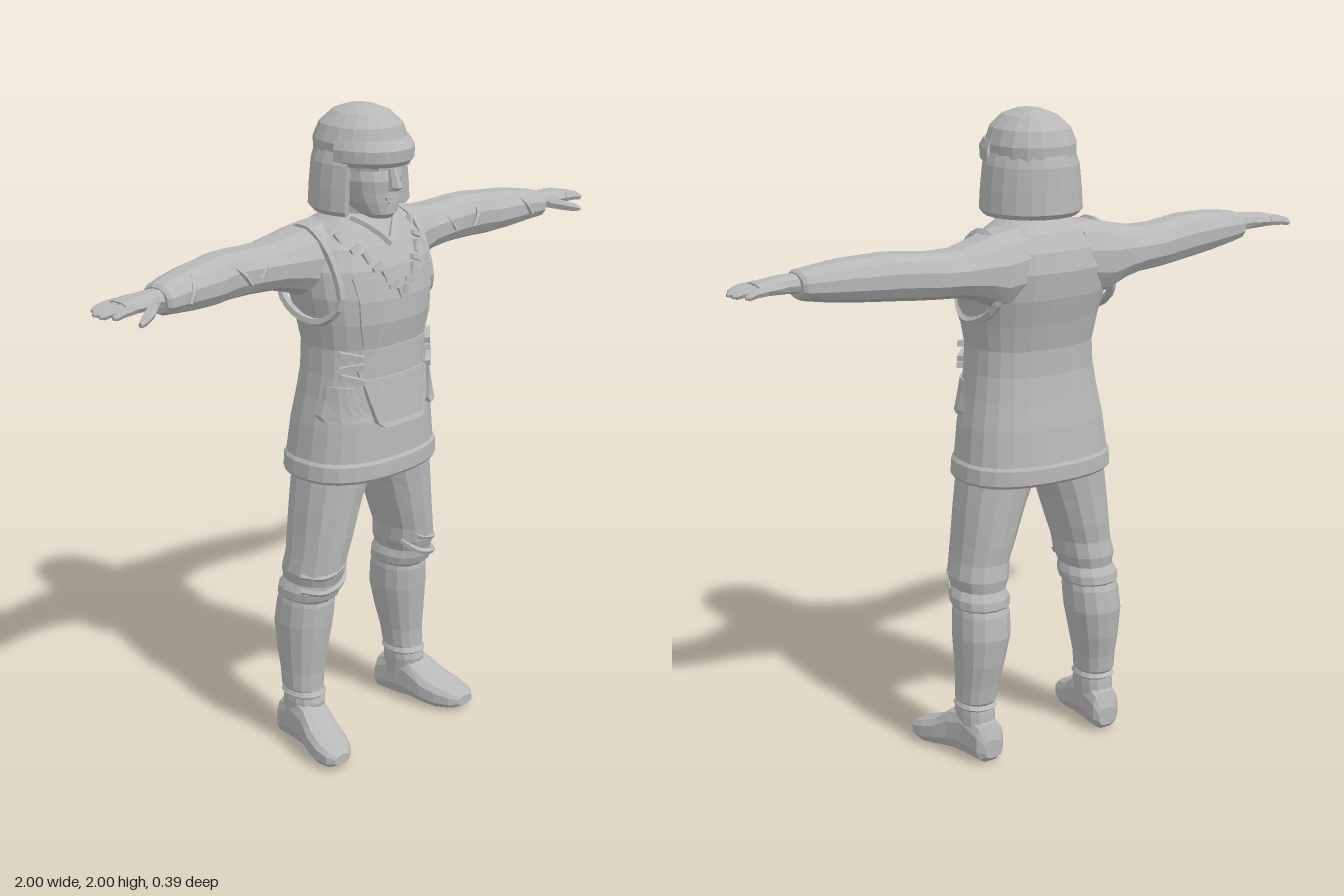
import * as THREE from 'three';

const cloth = new THREE.MeshStandardMaterial({ color: 0xb8b8b8, flatShading: true });
cloth.name = 'plain grey';

const V = (x, y, z) => new THREE.Vector3(x, y, z);

// Closed, capped skin over rings of points; faces are turned outward by volume sign.
function loft(name, rings, side = 1) {
  const n = rings[0].length, pts = rings.flat().map(p => V(p.x * side, p.y, p.z)), tris = [];
  const quad = (a, b, c, d) => tris.push([a, b, c], [a, c, d]);
  for (let r = 0; r < rings.length - 1; r++)
    for (let i = 0; i < n; i++) {
      const j = (i + 1) % n;
      quad(r * n + i, r * n + j, r * n + n + j, r * n + n + i);
    }
  const last = (rings.length - 1) * n;
  for (let i = 0; i < n / 2 - 1; i++) {
    quad(n - 1 - i, n - 2 - i, i + 1, i);
    quad(last + i, last + i + 1, last + n - 2 - i, last + n - 1 - i);
  }
  let vol = 0;
  for (const [a, b, c] of tris) vol += pts[a].dot(V(0, 0, 0).crossVectors(pts[b], pts[c]));
  const pos = [];
  for (const [a, b, c] of tris)
    for (const k of vol < 0 ? [a, c, b] : [a, b, c]) pos.push(pts[k].x, pts[k].y, pts[k].z);
  const g = new THREE.BufferGeometry();
  g.setAttribute('position', new THREE.Float32BufferAttribute(pos, 3));
  g.computeVertexNormals();
  const m = new THREE.Mesh(g, cloth);
  m.name = name;
  return m;
}

// Rounded cross-section. Row: [position on axis, min and max of first, min and max of second direction]
function ring(axis, [a, u0, u1, v0, v1], n = 14, p = 2.2) {
  return Array.from({ length: n }, (_, i) => {
    const t = (i + 0.5) / n * Math.PI * 2, c = Math.cos(t), s = Math.sin(t);
    const u = (u0 + u1) / 2 + (u1 - u0) / 2 * Math.sign(c) * Math.abs(c) ** (2 / p);
    const v = (v0 + v1) / 2 + (v1 - v0) / 2 * Math.sign(s) * Math.abs(s) ** (2 / p);
    return axis === 'y' ? V(u, a, v) : axis === 'x' ? V(a, u, v) : V(u, v, a);
  });
}
const solid = (name, axis, rows, side, n, p) => loft(name, rows.map(r => ring(axis, r, n, p)), side);

// Tunic profile: [y, half width, back z, front z]
const P = 2.4;
const tunic = [
  [0.89, 0.25, -0.175, 0.17], [0.90, 0.257, -0.185, 0.177], [0.945, 0.253, -0.185, 0.177],
  [0.955, 0.245, -0.18, 0.171], [1.06, 0.232, -0.168, 0.168], [1.15, 0.215, -0.152, 0.163],
  [1.22, 0.205, -0.142, 0.16], [1.30, 0.2, -0.142, 0.158], [1.38, 0.214, -0.16, 0.172],
  [1.46, 0.23, -0.182, 0.17], [1.54, 0.232, -0.192, 0.152], [1.60, 0.208, -0.178, 0.122],
  [1.65, 0.155, -0.145, 0.09], [1.685, 0.095, -0.1, 0.065],
];
function profile(y) {
  let i = 0;
  while (i < tunic.length - 2 && tunic[i + 1][0] < y) i++;
  const a = tunic[i], b = tunic[i + 1], t = (y - a[0]) / (b[0] - a[0]);
  return a.map((v, k) => THREE.MathUtils.lerp(v, b[k], t));
}
function frontZ(x, y) {
  const [, w, z0, z1] = profile(y), k = Math.min(Math.abs(x) / w, 0.99);
  return (z0 + z1) / 2 + (z1 - z0) / 2 * (1 - k ** P) ** (1 / P);
}

// Curved panel on the tunic front. Row: [y, left x, right x]
function panel(name, rows, thick, side = 1, drop = 0, cols = 6) {
  return loft(name, rows.map(([y, x0, x1], r) => {
    const edge = d => Array.from({ length: cols + 1 }, (_, i) => {
      const x = x0 + (x1 - x0) * i / cols;
      return V(x, y, frontZ(x, y) + d + drop * (1 - r / (rows.length - 1)));
    });
    return [...edge(thick), ...edge(-0.02).reverse()];
  }), side);
}

function box(name, size, at, rot = [0, 0, 0]) {
  const m = new THREE.Mesh(new THREE.BoxGeometry(...size), cloth);
  m.position.set(...at);
  m.rotation.set(...rot);
  m.name = name;
  return m;
}

function tube(name, points, r, closed = false) {
  const curve = new THREE.CatmullRomCurve3(points, closed);
  const m = new THREE.Mesh(new THREE.TubeGeometry(curve, 24, r, 5, closed), cloth);
  m.name = name;
  return m;
}

function createHead() {
  const g = new THREE.Group();
  g.name = 'head';
  g.add(
    solid('neck', 'y', [[1.58, -0.09, 0.09, -0.1, 0.08], [1.66, -0.075, 0.075, -0.09, 0.07], [1.76, -0.07, 0.07, -0.08, 0.07]]),
    solid('face', 'y', [
      [1.675, -0.035, 0.035, 0.02, 0.113], [1.69, -0.058, 0.058, -0.03, 0.127], [1.725, -0.078, 0.078, -0.08, 0.128],
      [1.755, -0.088, 0.088, -0.1, 0.127], [1.79, -0.096, 0.096, -0.1, 0.13], [1.82, -0.096, 0.096, -0.1, 0.122],
      [1.88, -0.1, 0.1, -0.1, 0.14]], 1, 16),
    solid('nose', 'y', [[1.76, -0.02, 0.02, 0.1, 0.148], [1.772, -0.018, 0.018, 0.1, 0.164], [1.83, -0.009, 0.009, 0.1, 0.137]], 1, 8),
    box('brow', [0.13, 0.02, 0.03], [0, 1.838, 0.122]),
    box('mouth', [0.05, 0.009, 0.012], [0, 1.738, 0.127]),
    box('lowerLip', [0.034, 0.008, 0.012], [0, 1.724, 0.127]),
    solid('capCrown', 'y', [
      [1.84, -0.128, 0.128, -0.143, 0.138], [1.90, -0.13, 0.13, -0.145, 0.14], [1.945, -0.112, 0.112, -0.128, 0.128],
      [1.98, -0.075, 0.075, -0.09, 0.095], [1.996, -0.035, 0.035, -0.045, 0.05], [2.0, -0.01, 0.01, -0.015, 0.02]], 1, 18));
  // Horseshoe-shaped strips wrapped around the head
  const wrap = (name, rows, from, to, shift = 0) => loft(name, rows.map(([y, rx, rz, t]) => {
    const arc = d => Array.from({ length: 15 }, (_, i) => {
      const a = from + (to - from) * i / 14;
      return V(Math.sin(a) * (rx - d), y, shift + Math.cos(a) * (rz - d));
    });
    return [...arc(0), ...arc(t).reverse()];
  }));
  g.add(
    wrap('capBrim', [[1.835, 0.124, 0.158, 0.03], [1.85, 0.137, 0.172, 0.045], [1.885, 0.138, 0.175, 0.045], [1.91, 0.128, 0.155, 0.04]], -1.45, 1.45),
    wrap('earAndNeckFlap', [[1.69, 0.143, 0.142, 0.03], [1.705, 0.155, 0.155, 0.045], [1.77, 0.151, 0.152, 0.045],
      [1.84, 0.142, 0.149, 0.035], [1.875, 0.129, 0.139, 0.03]], 1.08, Math.PI * 2 - 1.08, -0.005));
  return g;
}

function createTorso() {
  const g = new THREE.Group();
  g.name = 'torso';
  g.add(
    solid('tunic', 'y', tunic.map(([y, w, z0, z1]) => [y, -w, w, z0, z1]), 1, 24, P),
    panel('frontFlap', [[1.06, -0.08, 0.08], [1.075, -0.1, 0.1], [1.15, -0.122, 0.122], [1.21, -0.135, 0.135]], 0.008, 1, 0.014),
    panel('waistband', [[1.215, -0.14, 0.14], [1.255, -0.15, 0.15], [1.30, -0.135, 0.135]], 0.006),
    panel('chestPanel', [[1.31, -0.13, 0.13], [1.38, -0.145, 0.145], [1.45, -0.15, 0.15], [1.52, -0.16, 0.16]], 0.005));
  for (const s of [-1, 1]) {
    g.add(panel('hipFlap', [[1.085, 0.13, 0.222], [1.1, 0.125, 0.226], [1.15, 0.145, 0.212], [1.19, 0.155, 0.205]], 0.012, s, 0.01, 4));
    // Side lacing
    for (const [y, tilt] of [[1.215, 0.25], [1.25, -0.15], [1.285, 0.2]])
      g.add(box('sideLace', [0.075, 0.018, 0.03], [s * 0.158, y, frontZ(0.158, y) + 0.002], [0, s * 0.75, s * tilt]));
    // Ragged trim along the neckline
    for (let i = 0; i < 7; i++) {
      const t = i / 6, x = 0.01 + 0.14 * t, y = 1.465 + 0.165 * t;
      g.add(box('collarTrim', [0.036, 0.014, 0.014], [s * x, y, frontZ(x, y) + 0.003], [-0.4 * t, s * 0.3 * t, s * (i % 2 ? -0.35 : 1.2)]));
    }
    g.add(tube('collarEdge', [[0, 1.6], [0.03, 1.635], [0.065, 1.665], [0.085, 1.68]].map(([x, y]) => V(s * x, y, frontZ(x, y) + 0.002)), 0.012));
    // Armhole piping laid around the shoulder
    g.add(tube('armholePiping', [[0.195, 1.62, 0.035], [0.19, 1.54, 0.085], [0.19, 1.45, 0.105], [0.21, 1.39, 0.05],
      [0.222, 1.39, -0.03], [0.21, 1.44, -0.12], [0.19, 1.53, -0.15], [0.19, 1.63, -0.11], [0.19, 1.655, -0.04]]
      .map(([x, y, z]) => V(s * x, y, z)), 0.014, true));
  }
  return g;
}

function createArm(s) {
  const g = new THREE.Group();
  g.name = s > 0 ? 'leftArm' : 'rightArm';
  g.add(
    solid('sleeve', 'x', [
      [0.1, 1.44, 1.67, -0.17, 0.06], [0.19, 1.435, 1.66, -0.185, 0.065], [0.25, 1.465, 1.643, -0.18, 0.045],
      [0.32, 1.485, 1.628, -0.173, 0.022], [0.4, 1.49, 1.628, -0.165, 0.012], [0.47, 1.494, 1.635, -0.15, 0.015],
      [0.53, 1.498, 1.638, -0.138, 0.03], [0.58, 1.5, 1.634, -0.125, 0.045], [0.66, 1.506, 1.63, -0.105, 0.052],
      [0.73, 1.514, 1.62, -0.085, 0.054], [0.785, 1.522, 1.61, -0.066, 0.06], [0.795, 1.53, 1.602, -0.055, 0.05]], s, 12),
    solid('palm', 'x', [
      [0.77, 1.54, 1.598, -0.035, 0.035], [0.83, 1.546, 1.6, -0.042, 0.045], [0.88, 1.549, 1.595, -0.055, 0.052],
      [0.925, 1.552, 1.588, -0.056, 0.046]], s, 10));
  // Four fingers, spread slightly
  [[-0.042, 0.975, -0.055], [-0.015, 0.998, -0.02], [0.012, 1, 0.01], [0.036, 0.98, 0.042]].forEach(([z, end, zEnd]) => {
    const mid = (0.91 + end) / 2, zm = (z + zEnd) / 2;
    g.add(solid('finger', 'x', [
      [0.9, 1.556, 1.587, z - 0.014, z + 0.014], [mid, 1.555, 1.582, zm - 0.013, zm + 0.013],
      [end - 0.012, 1.552, 1.574, zEnd - 0.011, zEnd + 0.011], [end, 1.556, 1.567, zEnd - 0.005, zEnd + 0.005]], s, 6));
  });
  g.add(solid('thumb', 'x', [
    [0.82, 1.548, 1.585, 0.01, 0.045], [0.86, 1.538, 1.575, 0.035, 0.075], [0.9, 1.53, 1.56, 0.06, 0.09],
    [0.922, 1.531, 1.547, 0.076, 0.092]], s, 6));
  // Sleeve folds
  for (const [x, lean] of [[0.36, 0.05], [0.52, -0.05], [0.68, 0.04]])
    g.add(tube('sleeveFold', [V(s * x, 1.615, -0.02 + (x - 0.45) * 0.16), V(s * (x + lean / 2), 1.585, 0.002 + (x - 0.36) * 0.15),
      V(s * (x + lean), 1.55, 0.008 + (x - 0.36) * 0.15)], 0.008));
  return g;
}

function createLeg(s) {
  const g = new THREE.Group();
  g.name = s > 0 ? 'leftLeg' : 'rightLeg';
  g.add(
    solid('trouserLeg', 'y', [
      [0.485, 0.135, 0.275, -0.11, 0.045], [0.505, 0.118, 0.292, -0.125, 0.068], [0.53, 0.116, 0.292, -0.122, 0.078],
      [0.555, 0.125, 0.279, -0.108, 0.082], [0.59, 0.112, 0.286, -0.114, 0.095], [0.64, 0.106, 0.276, -0.106, 0.1],
      [0.7, 0.085, 0.268, -0.112, 0.106], [0.8, 0.05, 0.258, -0.116, 0.112], [0.88, 0.015, 0.248, -0.12, 0.118],
      [0.95, 0.0, 0.235, -0.13, 0.12]], s, 14),
    solid('bootShaft', 'y', [
      [0.06, 0.175, 0.28, -0.105, 0.03], [0.15, 0.17, 0.282, -0.098, 0.045], [0.185, 0.172, 0.278, -0.092, 0.036],
      [0.195, 0.166, 0.286, -0.1, 0.035], [0.25, 0.16, 0.286, -0.108, 0.035], [0.32, 0.145, 0.29, -0.125, 0.043],
      [0.41, 0.126, 0.295, -0.137, 0.052], [0.48, 0.122, 0.29, -0.128, 0.056], [0.5, 0.124, 0.286, -0.12, 0.052]], s, 14),
    solid('foot', 'z', [
      [-0.122, 0.185, 0.25, 0.02, 0.08], [-0.105, 0.172, 0.272, 0.004, 0.13], [-0.03, 0.174, 0.285, 0.004, 0.17],
      [0.03, 0.178, 0.3, 0.008, 0.15], [0.08, 0.184, 0.32, 0.004, 0.11], [0.13, 0.198, 0.334, 0.0, 0.088],
      [0.175, 0.222, 0.332, 0.006, 0.07], [0.198, 0.25, 0.312, 0.018, 0.05]], s, 12, 2.8),
    solid('ankleStrap', 'y', [[0.165, 0.172, 0.278, -0.09, 0.035], [0.175, 0.163, 0.288, -0.103, 0.045], [0.19, 0.17, 0.28, -0.09, 0.035]], s, 14));
  // Trouser folds above the boot
  for (const y of [0.56, 0.61])
    g.add(tube('trouserFold', [V(s * 0.125, y + 0.04, 0.05), V(s * 0.17, y, 0.085), V(s * 0.24, y - 0.02, 0.08), V(s * 0.28, y - 0.02, 0.02)], 0.01));
  return g;
}

export function createModel() {
  const model = new THREE.Group();
  model.name = 'standingFigure';
  model.add(createHead(), createTorso());
  for (const s of [-1, 1]) model.add(createArm(s), createLeg(s));
  return model;
}
